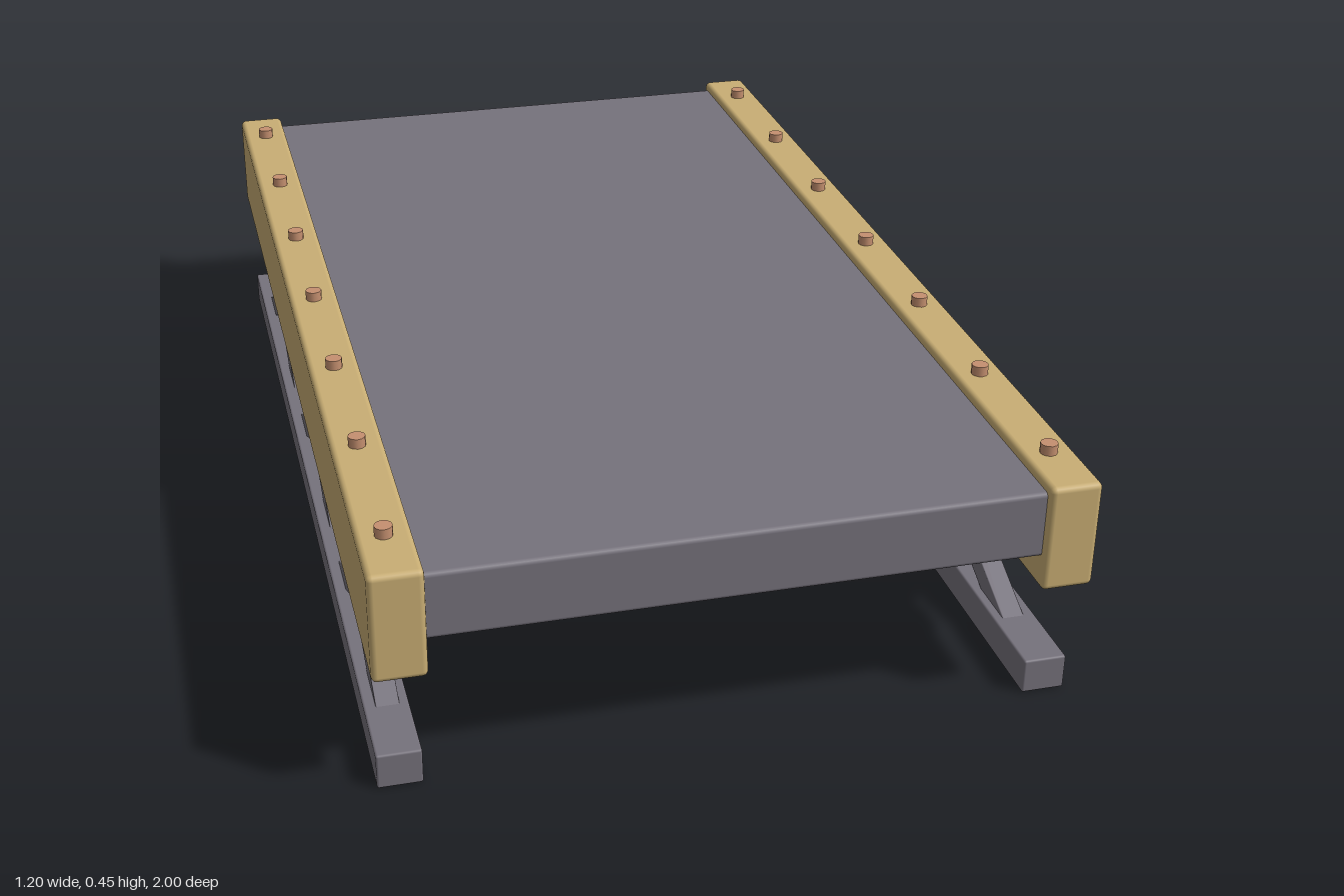
import * as THREE from 'three';
import { RoundedBoxGeometry } from 'three/addons/geometries/RoundedBoxGeometry.js';

function material(name, color) {
  const m = new THREE.MeshStandardMaterial({ color });
  m.name = name;
  return m;
}

export function createModel() {
  const model = new THREE.Group();
  model.name = 'scissorPlatform';
  const slate = material('slate', 0x76727c);
  const wood = material('paleWood', 0xc9ae74);
  const copper = material('copper', 0xc59070);

  // Box with softened edges, added to the model
  function block(name, mat, size, pos, bevel) {
    const mesh = new THREE.Mesh(new RoundedBoxGeometry(...size, 2, bevel), mat);
    mesh.name = name;
    mesh.position.set(...pos);
    model.add(mesh);
    return mesh;
  }

  // Deck slab
  block('deck', slate, [1.04, 0.12, 1.97], [0, 0.357, 0], 0.008);

  // Cross slats under the deck
  for (let i = -2; i <= 2; i++) {
    block('crossSlat', copper, [1.18, 0.086, 0.08], [0, 0.252, i * 0.404], 0.006);
  }

  const boltGeometry = new THREE.CylinderGeometry(0.015, 0.015, 0.04, 12);
  for (const side of [-1, 1]) {
    // Wooden side rail and its ground runner
    block('sideRail', wood, [0.09, 0.194, 2], [side * 0.555, 0.335, 0], 0.01);
    block('groundRunner', slate, [0.076, 0.064, 1.9], [side * 0.557, 0.032, 0], 0.004);

    // Bolts along the top of the rail
    for (let i = -3; i <= 3; i++) {
      const bolt = new THREE.Mesh(boltGeometry, copper);
      bolt.name = 'bolt';
      bolt.position.set(side * 0.555, 0.43, i * 0.294);
      model.add(bolt);
    }

    // Crossed braces between runner and rail
    for (const z of [-0.585, 0, 0.585]) {
      for (const tilt of [-1, 1]) {
        const brace = block('scissorBrace', slate, [0.04, 0.043, 0.52], [side * 0.555, 0.148, z], 0.002);
        brace.rotation.x = tilt * 0.434;
      }
    }
  }
  return model;
}
